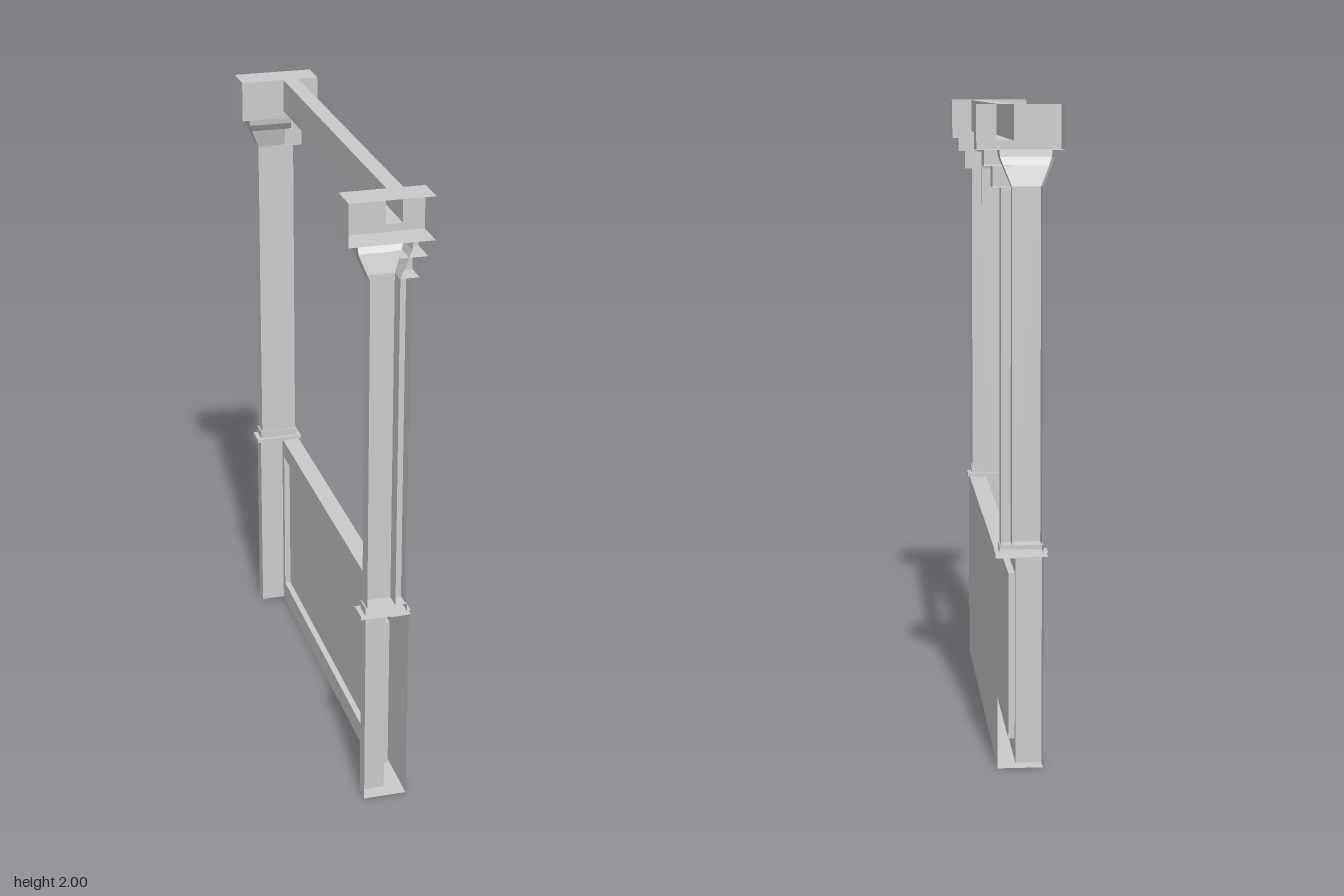
import * as THREE from 'three';

const mat = new THREE.MeshStandardMaterial({ color: 0xcccccc, side: THREE.DoubleSide, flatShading: true });
const SIDES = ['px', 'nx', 'py', 'ny', 'pz', 'nz'];

function add(parent, name, geo) {
  const mesh = new THREE.Mesh(geo, mat);
  mesh.name = name;
  parent.add(mesh);
  return mesh;
}

// Hollow box between two corners, with the listed sides left open
function shell(parent, name, [x0, x1], [y0, y1], [z0, z1], open) {
  const geo = new THREE.BoxGeometry(x1 - x0, y1 - y0, z1 - z0);
  const all = Array.from(geo.index.array);
  geo.setIndex(all.filter((_, i) => !open.includes(SIDES[Math.floor(i / 6)])));
  geo.clearGroups();
  geo.translate((x0 + x1) / 2, (y0 + y1) / 2, (z0 + z1) / 2);
  return add(parent, name, geo);
}

// Flared half-capital: three-sided rows [y, half width, inner z], open at the outer end
function flare(rows, cx, zOut) {
  const pos = [], idx = [];
  for (const [y, w, z] of rows) {
    pos.push(cx - w, y, zOut, cx - w, y, z, cx + w, y, z, cx + w, y, zOut);
  }
  for (let r = 0; r < rows.length - 1; r++) {
    for (let k = 0; k < 3; k++) {
      const a = r * 4 + k, b = a + 1, c = a + 4, d = b + 4;
      idx.push(a, c, b, b, c, d);
    }
  }
  const geo = new THREE.BufferGeometry();
  geo.setAttribute('position', new THREE.Float32BufferAttribute(pos, 3));
  geo.setIndex(idx);
  const flat = geo.toNonIndexed();
  flat.computeVertexNormals();
  return flat;
}

// Flat sheet facing -x from (z, y) rectangles, with an optional opening
function sheet(x, z0, z1, y0, y1, hole) {
  const rect = (T, a, b, c, d) => {
    const p = new T();
    p.moveTo(a, c).lineTo(b, c).lineTo(b, d).lineTo(a, d).closePath();
    return p;
  };
  const shape = rect(THREE.Shape, z0, z1, y0, y1);
  if (hole) shape.holes.push(rect(THREE.Path, ...hole));
  const geo = new THREE.ShapeGeometry(shape);
  geo.rotateY(-Math.PI / 2);
  geo.translate(x, 0, 0);
  return geo;
}

// Half column standing at the +z end, open on its outer side
function halfColumn() {
  const g = new THREE.Group();
  const out = 0.7;
  shell(g, 'pedestal', [-0.07, 0.01], [0, 0.655], [0.65, out], ['px', 'py', 'pz']);

  // Collar on top of the pedestal
  shell(g, 'collarLip', [-0.085, 0.075], [0.655, 0.667], [0.63, out], ['pz']);
  shell(g, 'collarStep', [-0.07, 0.062], [0.667, 0.692], [0.643, out], ['pz', 'ny']);

  // Shaft and the narrower pilaster beside it
  shell(g, 'shaft', [-0.065, 0.025], [0.692, 1.76], [0.646, out], ['py', 'ny', 'pz']);
  shell(g, 'pilaster', [0.025, 0.058], [0.692, 1.76], [0.65, out], ['nx', 'py', 'ny', 'pz']);

  // Flared capital with stepped corbels beside it
  add(g, 'capital', flare([[1.76, 0.045, 0.646], [1.82, 0.07, 0.63], [1.845, 0.08, 0.612], [1.868, 0.083, 0.608]], -0.02, out));
  shell(g, 'lowerCorbel', [0.025, 0.083], [1.76, 1.822], [0.63, out], ['nx', 'pz']);
  shell(g, 'upperCorbel', [0.04, 0.108], [1.822, 1.868], [0.608, out], ['nx', 'py', 'pz']);

  // Top block, its inner wall pierced where the beam enters
  shell(g, 'topBlock', [-0.13, 0.13], [1.868, 2], [0.595, out], ['pz', 'nz']);
  const wall = new THREE.Shape();
  wall.moveTo(-0.13, 1.868).lineTo(0.13, 1.868).lineTo(0.13, 2).lineTo(0.063, 2)
    .lineTo(0.063, 1.892).lineTo(0.012, 1.892).lineTo(0.012, 2).lineTo(-0.13, 2).closePath();
  const wallGeo = new THREE.ShapeGeometry(wall);
  wallGeo.rotateY(Math.PI);
  wallGeo.scale(-1, 1, 1);
  // Restore the winding after the flip
  const ix = wallGeo.index.array;
  for (let i = 0; i < ix.length; i += 3) [ix[i], ix[i + 1]] = [ix[i + 1], ix[i]];
  wallGeo.translate(0, 0, 0.595);
  wallGeo.computeVertexNormals();
  add(g, 'topBlockInnerWall', wallGeo);
  return g;
}

export function createModel() {
  const model = new THREE.Group();
  model.name = 'wallBay';

  // Low wall: plain outside, framed recess on the other side
  const wall = new THREE.Group();
  wall.name = 'lowWall';
  model.add(wall);
  shell(wall, 'wallBody', [0.01, 0.068], [0, 0.652], [-0.7, 0.7], ['nx', 'pz', 'nz']);
  add(wall, 'panelFrame', sheet(0.01, -0.65, 0.65, 0, 0.652, [-0.625, 0.625, 0.07, 0.59]));
  shell(wall, 'recessedPanel', [0.01, 0.03], [0.07, 0.59], [-0.625, 0.625], ['nx']);

  // Beam between the two top blocks
  shell(model, 'beam', [0.012, 0.063], [1.892, 2], [-0.595, 0.595], ['pz', 'nz']);

  // Mirrored half columns
  for (const s of [1, -1]) {
    const column = halfColumn();
    column.name = s > 0 ? 'frontColumn' : 'backColumn';
    column.scale.z = s;
    model.add(column);
  }
  return model;
}
